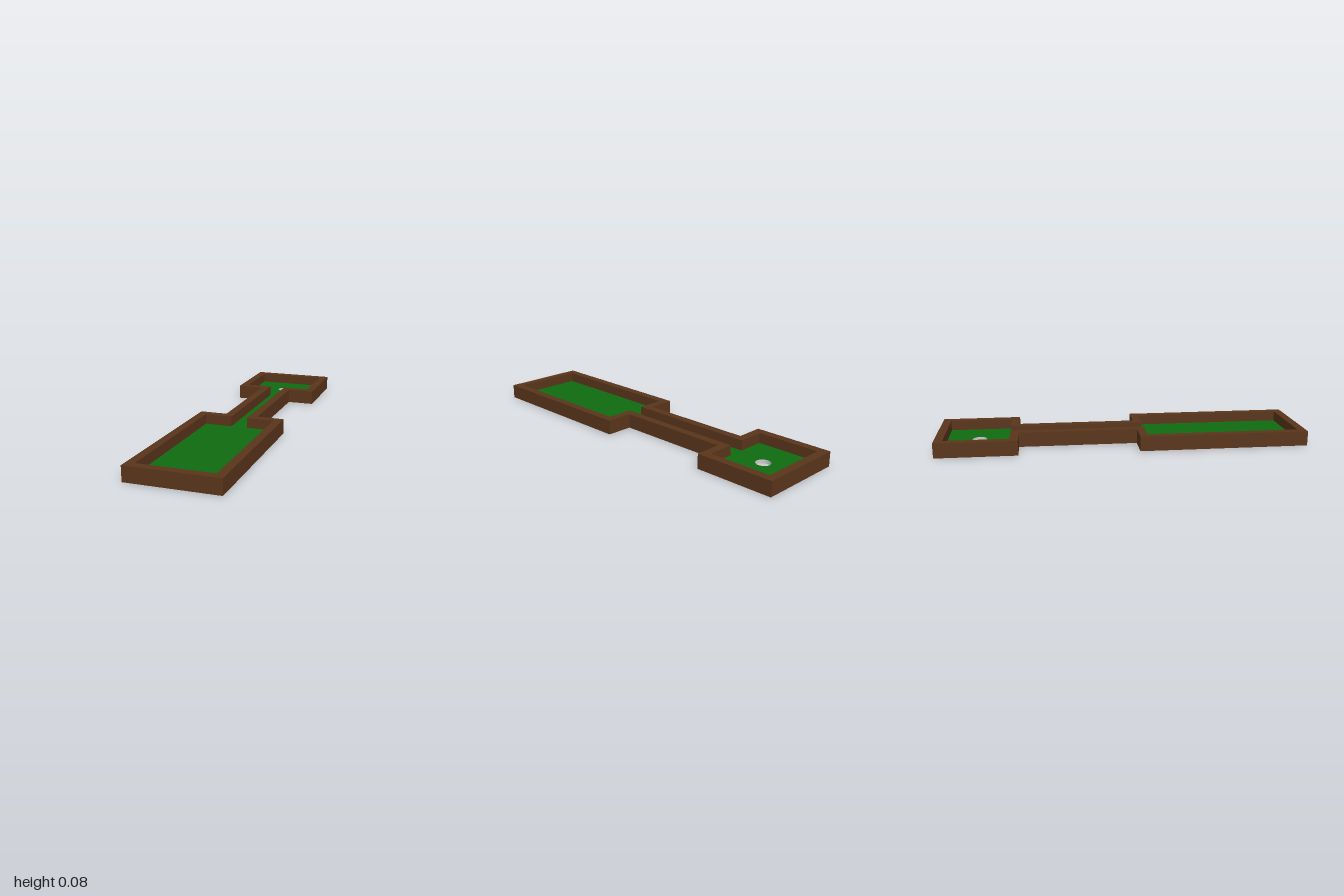
import * as THREE from 'three';

const WALL = 0.045, HEIGHT = 0.08, FLOOR = 0.025;
const CUP = { z: -0.78, radius: 0.04, bottom: 0.004 };

// Lane outline (two wide ends joined by a narrow neck), shrunk by an inset; shape y is -z
function outline(inset, Target = THREE.Shape) {
  const wide = 0.24 - inset, neck = 0.09 - inset, end = 1 - inset;
  const neckBack = 0.565 + inset, neckFront = -0.08 - inset;
  const right = [[wide, -end], [wide, neckFront], [neck, neckFront], [neck, neckBack], [wide, neckBack], [wide, end]];
  const left = right.map(([x, y]) => [-x, y]).reverse();
  return new Target([...right, ...left].map(([x, y]) => new THREE.Vector2(x, y)));
}

function addMesh(group, name, geometry, color, side = THREE.FrontSide) {
  const material = new THREE.MeshStandardMaterial({ color, side });
  const mesh = new THREE.Mesh(geometry, material);
  mesh.name = name;
  group.add(mesh);
  return mesh;
}

export function createModel() {
  const group = new THREE.Group();
  group.name = 'miniGolfLane';
  const brown = 0x5a351b, green = 0x106b10;

  // Border wall following the lane
  const wall = outline(0);
  wall.holes.push(outline(WALL, THREE.Path));
  const wallGeometry = new THREE.ExtrudeGeometry(wall, { depth: HEIGHT, bevelEnabled: false });
  addMesh(group, 'borderWall', wallGeometry.rotateX(-Math.PI / 2), brown);

  // Underside closing the lane from below
  const underside = new THREE.ShapeGeometry(outline(WALL)).rotateX(-Math.PI / 2);
  addMesh(group, 'underside', underside, brown, THREE.DoubleSide);

  // Green playing surface with a round opening for the cup
  const turf = outline(WALL);
  turf.holes.push(new THREE.Path().absarc(0, -CUP.z, CUP.radius, 0, Math.PI * 2, true));
  const turfGeometry = new THREE.ShapeGeometry(turf, 16).rotateX(-Math.PI / 2).translate(0, FLOOR, 0);
  addMesh(group, 'turf', turfGeometry, green);

  // Sunken cup: open side and flat bottom
  const depth = FLOOR - CUP.bottom;
  const side = new THREE.CylinderGeometry(CUP.radius, CUP.radius, depth, 32, 1, true);
  addMesh(group, 'cupSide', side, 0xcccccc, THREE.DoubleSide).position.set(0, CUP.bottom + depth / 2, CUP.z);
  const bottom = new THREE.CircleGeometry(CUP.radius, 32).rotateX(-Math.PI / 2);
  addMesh(group, 'cupBottom', bottom, 0xcccccc).position.set(0, CUP.bottom, CUP.z);

  return group;
}
